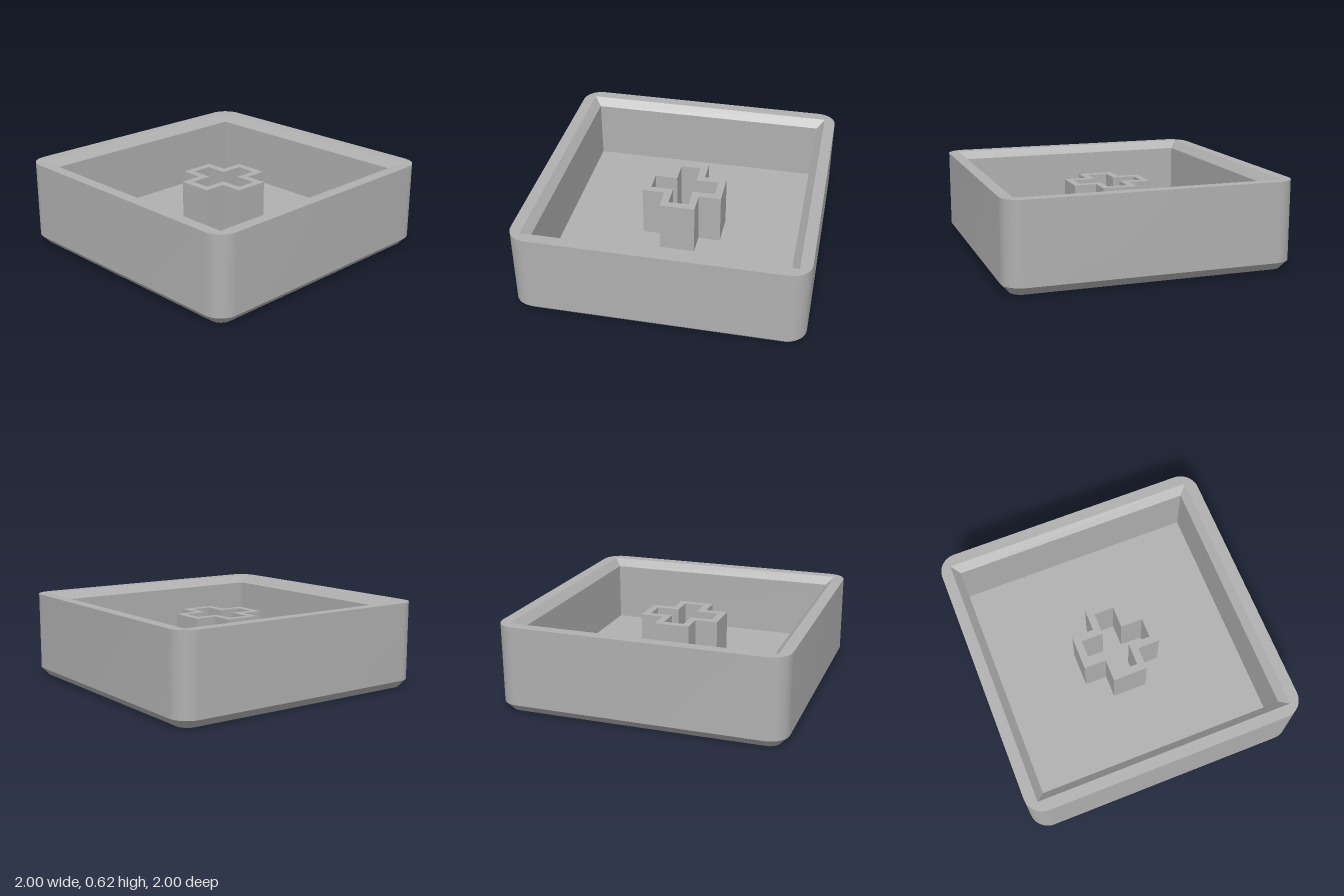
import * as THREE from 'three';
import { toCreasedNormals } from 'three/addons/utils/BufferGeometryUtils.js';

const HEIGHT = 0.615, FLOOR = 0.13, POST_TOP = 0.5;

// Square outline of half-size h with corner radius r, counter-clockwise
function squareRing(h, r, steps) {
  const points = [];
  for (let k = 0; k < 4; k++) {
    const mid = Math.PI / 4 + k * Math.PI / 2;
    const cx = Math.sign(Math.cos(mid)) * (h - r), cy = Math.sign(Math.sin(mid)) * (h - r);
    for (let i = 0; i <= steps; i++) {
      const a = (k + (steps ? i / steps : 0)) * Math.PI / 2;
      points.push(new THREE.Vector2(cx + r * Math.cos(a), cy + r * Math.sin(a)));
    }
  }
  return points;
}

// Plus-shaped outline: arm reach l, arm half-width w
function crossRing(l, w) {
  return [[l, -w], [l, w], [w, w], [w, l], [-w, l], [-w, w], [-l, w], [-l, -w],
    [-w, -w], [-w, -l], [w, -l], [w, -w]].map(([x, y]) => new THREE.Vector2(x, y));
}

// Skin between stacked outlines, each { ring, y }; upward order faces outward
function loft(sections) {
  const pos = [];
  const put = (s, i) => {
    const p = s.ring[i % s.ring.length];
    pos.push(p.x, s.y, -p.y);
  };
  for (let j = 0; j < sections.length - 1; j++) {
    const a = sections[j], b = sections[j + 1];
    for (let i = 0; i < a.ring.length; i++) {
      put(a, i); put(a, i + 1); put(b, i + 1);
      put(a, i); put(b, i + 1); put(b, i);
    }
  }
  const geometry = new THREE.BufferGeometry();
  geometry.setAttribute('position', new THREE.Float32BufferAttribute(pos, 3));
  return toCreasedNormals(geometry, 0.5);
}

// Horizontal face at height y, optionally with a hole
function plate(ring, y, hole) {
  const shape = new THREE.Shape(ring);
  if (hole) shape.holes.push(new THREE.Path(hole));
  return new THREE.ShapeGeometry(shape).rotateX(-Math.PI / 2).translate(0, y, 0);
}

export function createModel() {
  const group = new THREE.Group();
  const grey = new THREE.MeshStandardMaterial({ color: 0xb0b0b0 });
  grey.name = 'plain grey';
  const add = (name, geometry) => {
    const mesh = new THREE.Mesh(geometry, grey);
    mesh.name = name;
    group.add(mesh);
  };

  const base = squareRing(0.945, 0.08, 12);
  const outer = squareRing(1, 0.135, 12);
  const mouth = squareRing(0.92, 0, 0);
  const cavity = squareRing(0.867, 0, 0);

  // Tray shell: chamfered foot, rounded walls, flat rim
  add('outerWalls', loft([{ ring: base, y: 0 }, { ring: outer, y: 0.058 }, { ring: outer, y: HEIGHT }]));
  add('underside', plate(base, 0).rotateX(Math.PI));
  add('rim', plate(outer, HEIGHT, mouth));

  // Cavity: sloped lip, straight walls, floor
  add('innerWalls', loft([{ ring: mouth, y: HEIGHT }, { ring: cavity, y: HEIGHT - 0.055 }, { ring: cavity, y: FLOOR }]));
  add('floor', plate(cavity, FLOOR));

  // Hollow cross-shaped post standing on the floor
  const post = new THREE.Shape(crossRing(0.285, 0.125));
  post.holes.push(new THREE.Path(crossRing(0.232, 0.072)));
  add('crossPost', new THREE.ExtrudeGeometry(post, { depth: POST_TOP - FLOOR, bevelEnabled: false })
    .rotateX(-Math.PI / 2).translate(0, FLOOR, 0));

  return group;
}
